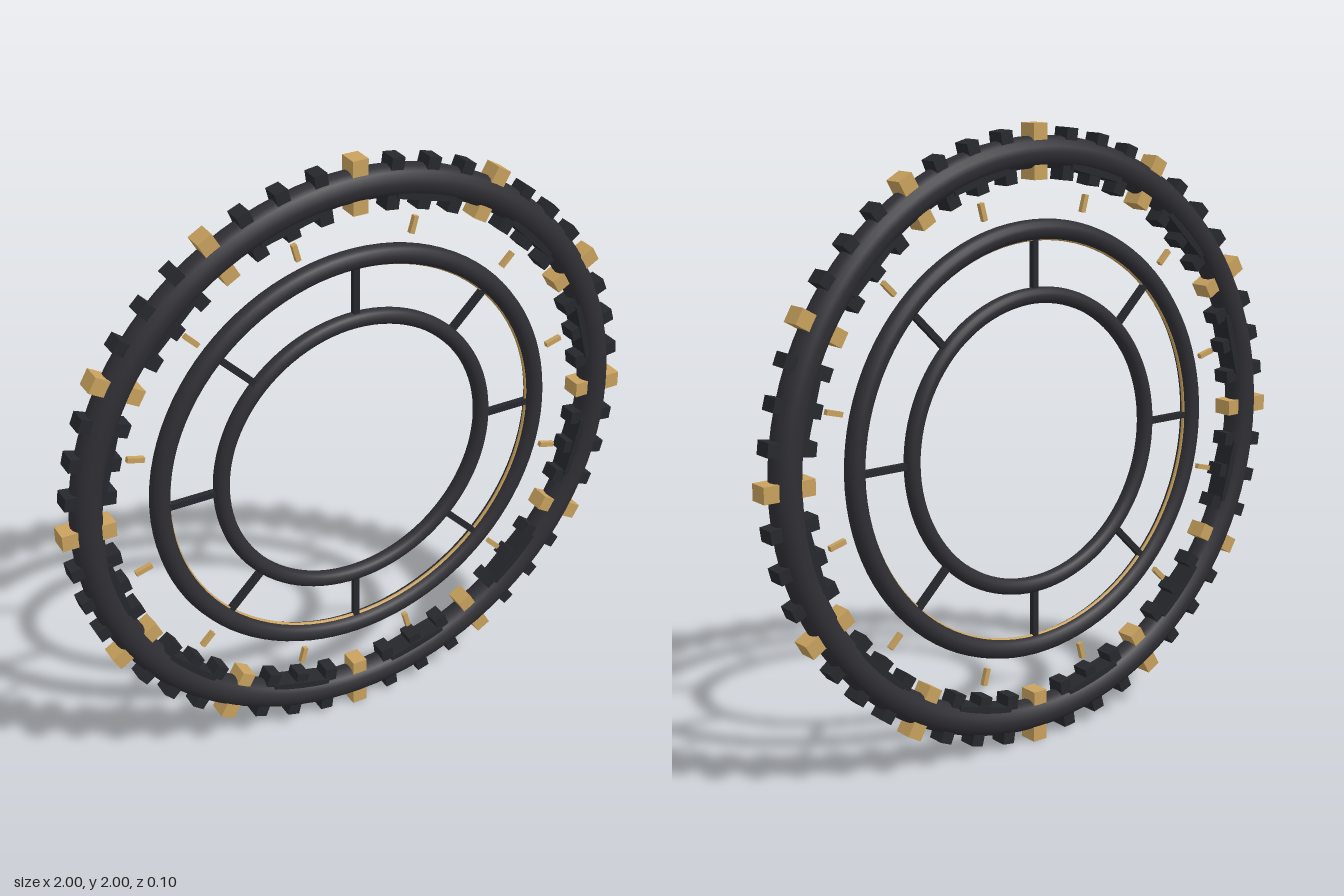
import * as THREE from 'three';

const mat = (name, color) => {
  const m = new THREE.MeshStandardMaterial({ color });
  m.name = name;
  return m;
};

export function createModel() {
  const ringMat = mat('charcoal', 0x2f2e34);
  const toothMat = mat('dark slate', 0x26282d);
  const goldMat = mat('gold', 0xc9a25e);

  const model = new THREE.Group();
  model.name = 'ringAssembly';
  const wheel = new THREE.Group();
  wheel.name = 'wheel';
  wheel.position.y = 1;
  model.add(wheel);

  // Smooth ring lying in the x-y plane
  const ring = (name, radius, tube, material) => {
    const mesh = new THREE.Mesh(new THREE.TorusGeometry(radius, tube, 16, 96), material);
    mesh.name = name;
    wheel.add(mesh);
  };

  // Box at a clockwise angle from the top; size is tangent, radial, depth
  const radialBox = (name, angle, radius, size, material) => {
    const mesh = new THREE.Mesh(new THREE.BoxGeometry(...size), material);
    mesh.name = name;
    mesh.position.set(Math.sin(angle) * radius, Math.cos(angle) * radius, 0);
    mesh.rotation.z = -angle;
    wheel.add(mesh);
  };

  ring('outerRing', 0.912, 0.05, ringMat);
  ring('middleRing', 0.675, 0.032, ringMat);
  ring('middleRingTrim', 0.648, 0.008, goldMat);
  ring('innerRing', 0.47, 0.026, ringMat);

  // Teeth outside and inside the outer ring, every fourth one gold
  const teeth = 48;
  for (let i = 0; i < teeth; i++) {
    const a = (i / teeth) * Math.PI * 2;
    if (i % 4 === 0) {
      radialBox('goldOuterTooth', a, 0.972, [0.052, 0.056, 0.064], goldMat);
      radialBox('goldInnerTooth', a, 0.852, [0.05, 0.046, 0.066], goldMat);
    } else {
      radialBox('outerTooth', a, 0.964, [0.043, 0.05, 0.06], toothMat);
      radialBox('innerTooth', a, 0.85, [0.043, 0.046, 0.06], toothMat);
    }
  }

  // Flat plates and floating gold ticks, midway between the gold teeth
  for (let i = 0; i < 12; i++) {
    const a = ((i + 0.5) / 12) * Math.PI * 2;
    radialBox('innerPlate', a, 0.868, [0.21, 0.022, 0.074], toothMat);
    radialBox('goldTick', a, 0.768, [0.016, 0.056, 0.016], goldMat);
  }

  // Spokes between the inner and middle rings
  for (let i = 0; i < 8; i++) {
    radialBox('spoke', (i / 8) * Math.PI * 2, 0.57, [0.02, 0.16, 0.02], toothMat);
  }

  return model;
}
